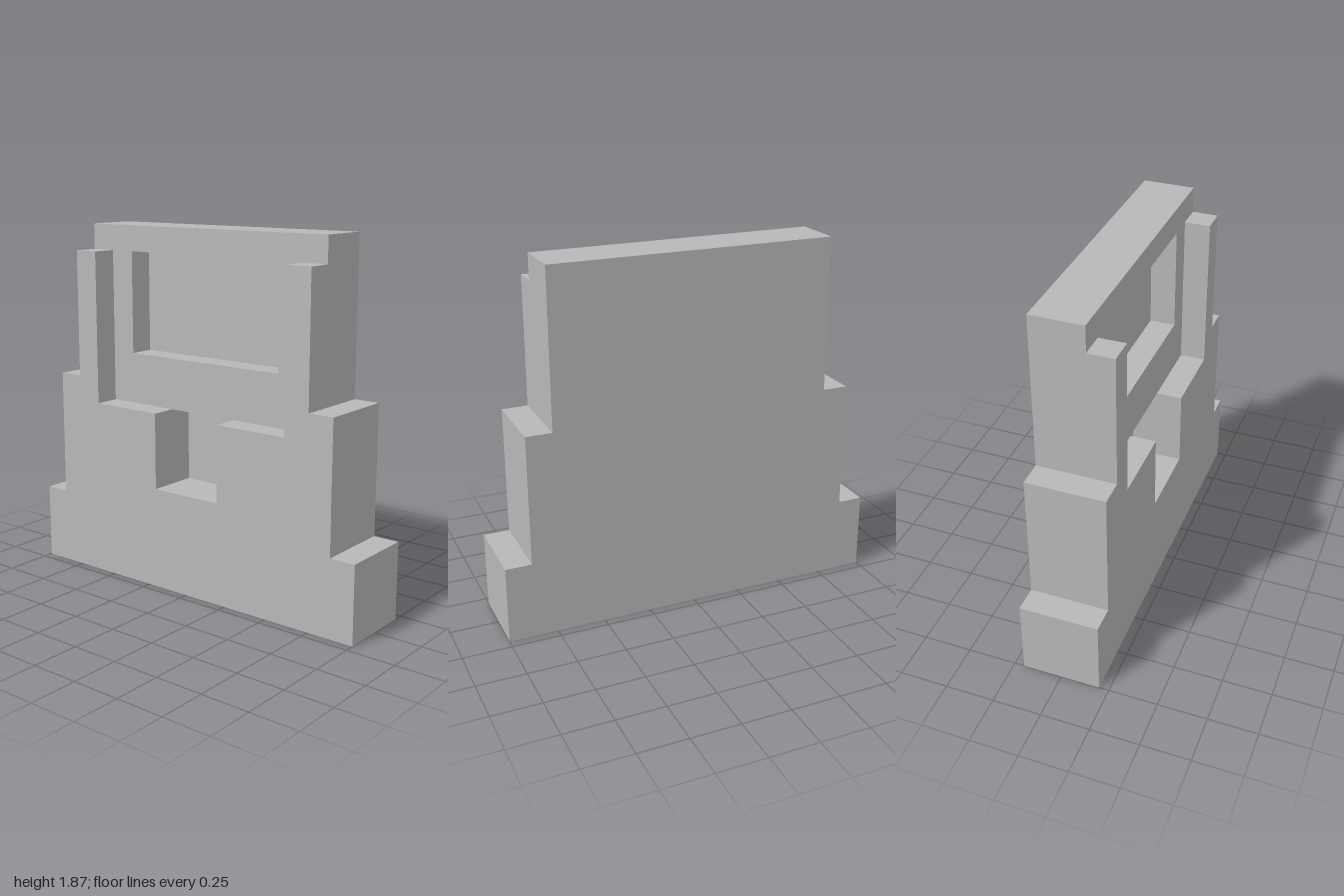
import * as THREE from 'three';

const U = 1 / 15; // block unit

// Mirror a right-hand profile (in units, bottom to top) into a closed outline
function mirrored(half) {
  const left = half.map(([x, y]) => [-x, y]).reverse();
  return [...half, ...left].map(([x, y]) => new THREE.Vector2(x * U, y * U));
}

function rectangle(halfWidth, y0, y1) {
  return new THREE.Path(mirrored([[halfWidth, y0], [halfWidth, y1]]));
}

export function createModel() {
  const group = new THREE.Group();
  const grey = new THREE.MeshStandardMaterial({ color: 0xb8b8b8 });
  grey.name = 'plain grey';

  // Each layer is two units thick
  function addLayer(name, half, z, holes = []) {
    const shape = new THREE.Shape(mirrored(half));
    shape.holes.push(...holes);
    const geometry = new THREE.ExtrudeGeometry(shape, { depth: 2 * U, bevelEnabled: false });
    geometry.translate(0, 0, z * U);
    const mesh = new THREE.Mesh(geometry, grey);
    mesh.name = name;
    group.add(mesh);
  }

  // Stepped side profile shared by all layers
  const steps = [[15, 0], [15, 6], [13, 6], [13, 16], [11, 16]];

  // Solid back wall, also the floor of the recesses
  addLayer('backWall', [...steps, [11, 28]], -3);

  // Middle layer with the window recess and the niche
  addLayer('windowPanel', [...steps, [11, 28]], -1, [rectangle(7, 18, 26), rectangle(3, 8, 14)]);

  // Front layer: two uprights, and the niche open to the ledge
  addLayer('frontFrame', [...steps, [11, 26], [9, 26], [9, 14], [3, 14], [3, 8]], 1);

  return group;
}
